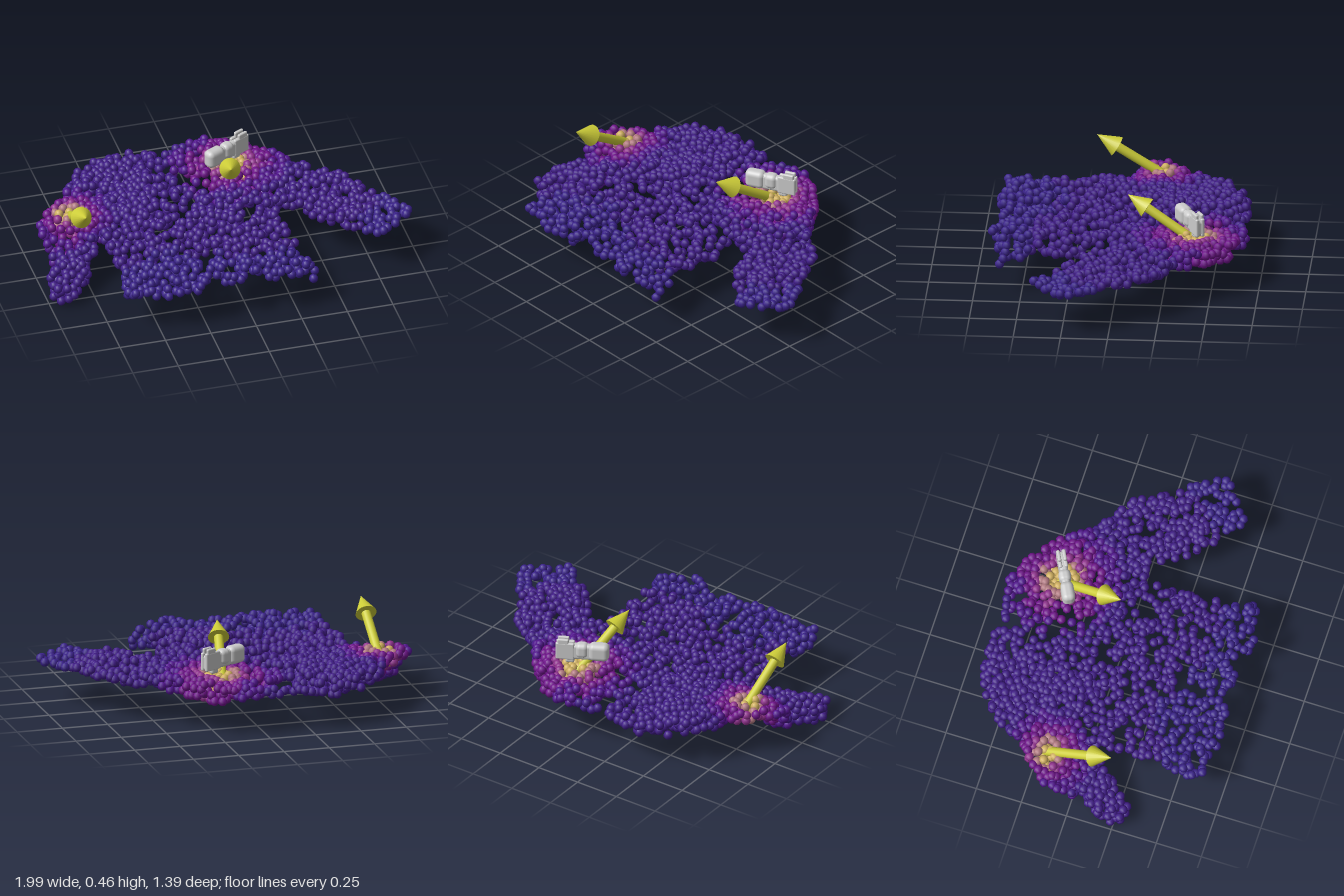
import * as THREE from 'three';
import { mergeGeometries } from 'three/addons/utils/BufferGeometryUtils.js';
import { RoundedBoxGeometry } from 'three/addons/geometries/RoundedBoxGeometry.js';

const RADIUS = 0.025;
const MAX_BEADS = 2150;
const { smoothstep, clamp, lerp } = THREE.MathUtils;

// Shirt outline on the ground plane as [x, z]
const OUTLINE = [
  [-0.67, 0.62], [-0.62, 0.65], [-0.4, 0.675], [-0.05, 0.63], [0.15, 0.675], [0.32, 0.67], [0.37, 0.6], [0.32, 0.45],
  [0.31, 0.2], [0.32, 0.02], [0.38, 0], [0.43, 0.07], [0.52, 0.19], [0.67, 0.34], [0.78, 0.42],
  [0.95, 0.29], [0.985, 0.24], [0.87, 0.06], [0.71, -0.19], [0.57, -0.27], [0.5, -0.32], [0.41, -0.46],
  [0.24, -0.6], [0.08, -0.685], [-0.04, -0.65], [-0.4, -0.655], [-0.56, -0.6], [-0.69, -0.47],
  [-0.75, -0.33], [-0.86, -0.24], [-0.95, -0.14], [-0.965, -0.06], [-0.89, 0.02], [-0.93, 0.1],
  [-0.985, 0.17], [-0.96, 0.29], [-0.87, 0.3], [-0.73, 0.14], [-0.66, 0.0], [-0.64, 0.03], [-0.63, 0.4],
];

// Height of the upper and lower cloth layers across the shirt as [x, y]
const UPPER = [[-1, 0.235], [-0.85, 0.255], [-0.5, 0.265], [0, 0.265], [0.3, 0.275], [0.5, 0.265], [0.65, 0.248], [1, 0.24]];
const LOWER = [[-1, 0.21], [-0.7, 0.2], [-0.35, 0.2], [-0.2, 0.218], [0.1, 0.222], [0.28, 0.185], [0.4, 0.195], [0.6, 0.215], [1, 0.235]];

// Grasp points and the colours around them, from hot to cold
const GRASPS = [[0.17, -0.4, 1.05], [-0.77, -0.17, 1.5]];
const BANDS = [
  [0.085, 0xd0b060, 'graspPatch'], [0.12, 0xb07880, 'warmRing'], [0.155, 0x90308e, 'pinkRing'],
  [0.24, 0x70128c, 'magentaRing'], [0.33, 0x521490, 'purpleRing'], [0.9, 0x401b88, 'shirtCloth'],
  [9, 0x39208a, 'shirtFarEnds'],
];

function seeded(seed) {
  return () => {
    seed = (seed * 1664525 + 1013904223) % 4294967296;
    return seed / 4294967296;
  };
}

// Straight-line value of a profile at x
function along(profile, x) {
  const i = profile.findIndex(([px]) => px >= x);
  const [ax, ay] = profile[i - 1], [bx, by] = profile[i];
  return lerp(ay, by, (x - ax) / (bx - ax));
}

// Distance from a point to the outline, or -1 outside it
function depthInside(x, z) {
  let hit = false, nearest = Infinity;
  for (let i = 0, j = OUTLINE.length - 1; i < OUTLINE.length; j = i++) {
    const [ax, az] = OUTLINE[i], [bx, bz] = OUTLINE[j];
    if ((az > z) !== (bz > z) && x < (bx - ax) * (z - az) / (bz - az) + ax) hit = !hit;
    const dx = bx - ax, dz = bz - az;
    const t = clamp(((x - ax) * dx + (z - az) * dz) / (dx * dx + dz * dz), 0, 1);
    nearest = Math.min(nearest, Math.hypot(x - ax - t * dx, z - az - t * dz));
  }
  return hit ? nearest : -1;
}

// Height of the cloth, from the lower layer (level = -1) to the upper (level = 1)
function clothHeight(x, z, level) {
  const corner = 0.08 * smoothstep(x, 0.25, 0.36) * smoothstep(z, 0.55, 0.64);
  const back = 0.012 * smoothstep(-z, 0.35, 0.65);
  const wrinkle = 0.005 * Math.sin(x * 11 + z * 9);
  const flat = lerp(along(LOWER, x), along(UPPER, x), (level + 1) / 2) - corner - back + wrinkle;
  // the right sleeve folds down below the shoulder
  const mid = 0.11 - 0.04 * smoothstep(z, 0.08, 0.3);
  const hanging = mid + level * (0.058 - 0.02 * smoothstep(z, 0.15, 0.3));
  const fold = x < -0.67 ? smoothstep(z, -0.11, 0.02) * smoothstep(-x, 0.66, 0.78) : 0;
  return lerp(flat, hanging, fold);
}

function buildShirt() {
  const shirt = new THREE.Group();
  shirt.name = 'shirt';
  const random = seeded(7);
  const beads = [];
  const groups = BANDS.map(() => []);
  const bead = new THREE.SphereGeometry(RADIUS, 8, 5);
  for (let i = 0; i < 10000 && beads.length < MAX_BEADS; i++) {
    const x = (random() * 2 - 1) * 0.975;
    const z = (random() * 2 - 1) * 0.67;
    const spread = random() * 2 - 1, chance = random(), jitter = random() - 0.5;
    const depth = depthInside(x, z);
    if (depth < 0) continue;
    // the torso, neck and left sleeve are sparser than the right shoulder
    const torso = x > -0.63 && x < 0.34 && z > -0.08;
    const neck = x > -0.28 && x < 0.06 && z < 0;
    const leftSleeve = x > 0.2 && z > -0.25;
    const density = neck ? 0.2 : torso ? 0.27 : leftSleeve ? 0.5 : 1;
    if (chance > density) continue;
    // the two layers join along the rim
    const level = depth < 0.05 ? spread : Math.sign(spread);
    const p = new THREE.Vector3(x, clothHeight(x, z, level) + jitter * 0.02, z);
    if (beads.some((q) => q.distanceToSquared(p) < 0.0006)) continue;
    beads.push(p);
    const d = Math.min(...GRASPS.map(([gx, gz, k]) => Math.hypot(x - gx, z - gz) * k)) + jitter * 0.04;
    groups[BANDS.findIndex(([limit]) => d < limit)].push(bead.clone().translate(p.x, p.y, p.z));
  }
  groups.forEach((list, i) => {
    const mesh = new THREE.Mesh(mergeGeometries(list), new THREE.MeshStandardMaterial({ color: BANDS[i][1] }));
    mesh.name = BANDS[i][2];
    shirt.add(mesh);
  });
  return shirt;
}

// Arrow with a round shaft and a cone head, running from tail to tip
function buildArrow(name, tail, tip) {
  const arrow = new THREE.Group();
  arrow.name = name;
  const from = new THREE.Vector3(...tail);
  const way = new THREE.Vector3(...tip).sub(from);
  const length = way.length(), head = 0.125;
  const material = new THREE.MeshStandardMaterial({ color: 0xcccc38 });
  const shaft = new THREE.Mesh(new THREE.CylinderGeometry(0.025, 0.025, length - head, 20), material);
  shaft.name = 'arrowShaft';
  shaft.position.y = (length - head) / 2;
  const cone = new THREE.Mesh(new THREE.ConeGeometry(0.057, head, 20), material);
  cone.name = 'arrowHead';
  cone.position.y = length - head / 2;
  arrow.add(shaft, cone);
  arrow.position.copy(from);
  arrow.quaternion.setFromUnitVectors(new THREE.Vector3(0, 1, 0), way.normalize());
  return arrow;
}

// Small gripper: a rounded palm, a slimmer body and a pair of raised finger tips
function buildGripper() {
  const gripper = new THREE.Group();
  gripper.name = 'gripper';
  const material = new THREE.MeshStandardMaterial({ color: 0xcccccc });
  const part = (name, [w, h, d], [x, y, z]) => {
    const mesh = new THREE.Mesh(new RoundedBoxGeometry(w, h, d, 3, Math.min(w, h, d) * 0.4), material);
    mesh.name = name;
    mesh.position.set(x, y, z);
    gripper.add(mesh);
  };
  part('palm', [0.11, 0.1, 0.07], [-0.085, -0.005, 0]);
  part('body', [0.25, 0.09, 0.045], [0.015, -0.01, 0]);
  part('hub', [0.07, 0.085, 0.065], [0.005, 0, 0]);
  part('foot', [0.05, 0.04, 0.03], [0.07, -0.06, 0]);
  for (const s of [-1, 1]) {
    part('finger', [0.1, 0.1, 0.02], [0.095, -0.005, s * 0.015]);
    part('fingerTip', [0.06, 0.04, 0.018], [0.105, 0.047, s * 0.015]);
  }
  gripper.position.set(0.15, 0.365, -0.378);
  gripper.rotation.y = 0.48;
  return gripper;
}

export function createModel() {
  const model = new THREE.Group();
  model.name = 'shirtWithGraspArrows';
  model.add(
    buildShirt(),
    buildArrow('rightSleeveArrow', [-0.765, 0.23, -0.2], [-0.775, 0.46, 0.178]),
    buildArrow('leftShoulderArrow', [0.165, 0.24, -0.41], [0.085, 0.466, -0.045]),
    buildGripper(),
  );
  return model;
}
